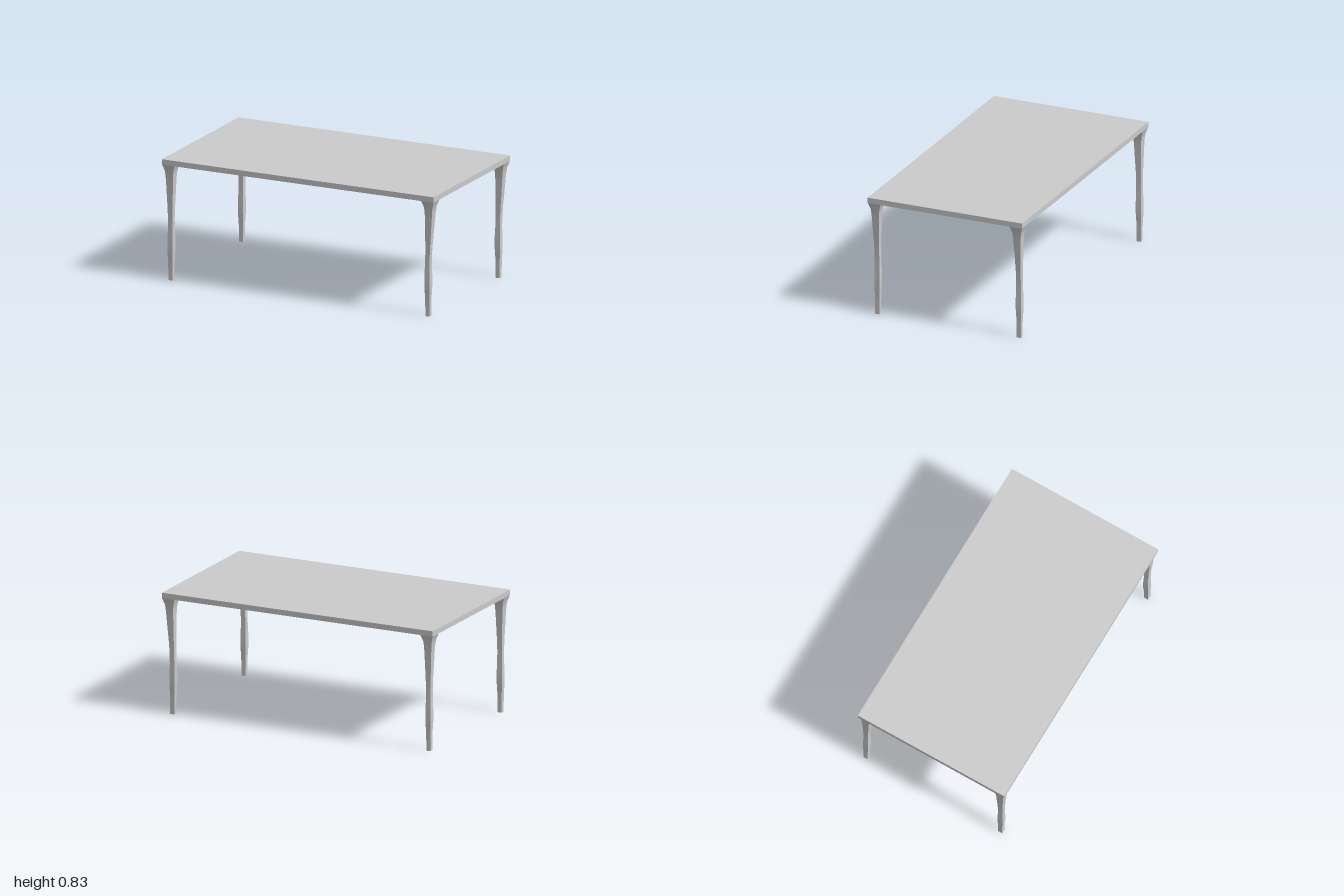
import * as THREE from 'three';

const material = new THREE.MeshStandardMaterial({ color: 0xcccccc });
const topY = 0.83, underY = 0.793, halfX = 1, halfZ = 0.557;

// Leg half-width by height: slim foot, soft swell, flare at the top
const profile = [
  [0, 0.015], [0.06, 0.015], [0.12, 0.0155], [0.16, 0.0175], [0.2, 0.0195], [0.28, 0.0195],
  [0.34, 0.017], [0.42, 0.0165], [0.5, 0.0185], [0.6, 0.0225], [0.68, 0.0255],
  [0.72, 0.028], [0.75, 0.0315], [0.775, 0.039], [underY + 0.002, 0.046],
];

// Square leg that drifts from its foot centre to the corner of the top
function makeLeg(name, sx, sz, footX, footZ) {
  const n = profile.length - 1;
  const geometry = new THREE.BoxGeometry(1, 1, 1, 1, n, 1);
  const p = geometry.attributes.position;
  const cornerX = sx * (halfX - 0.046), cornerZ = sz * (halfZ - 0.046);
  for (let i = 0; i < p.count; i++) {
    const [y, half] = profile[Math.round((p.getY(i) + 0.5) * n)];
    const t = THREE.MathUtils.smoothstep(y, 0.3, underY);
    p.setXYZ(i,
      THREE.MathUtils.lerp(footX, cornerX, t) + 2 * half * p.getX(i),
      y,
      THREE.MathUtils.lerp(footZ, cornerZ, t) + 2 * half * p.getZ(i));
  }
  geometry.computeVertexNormals();
  const leg = new THREE.Mesh(geometry, material);
  leg.name = name;
  return leg;
}

export function createModel() {
  const table = new THREE.Group();
  table.name = 'table';

  // Thin rectangular slab
  const top = new THREE.Mesh(
    new THREE.BoxGeometry(2 * halfX, topY - underY, 2 * halfZ), material);
  top.position.y = (topY + underY) / 2;
  top.name = 'tableTop';
  table.add(top);

  // Four corner legs
  table.add(
    makeLeg('frontLeftLeg', 1, 1, 0.938, 0.509),
    makeLeg('frontRightLeg', -1, 1, -0.954, 0.509),
    makeLeg('backLeftLeg', 1, -1, 0.938, -0.512),
    makeLeg('backRightLeg', -1, -1, -0.954, -0.515),
  );
  return table;
}
